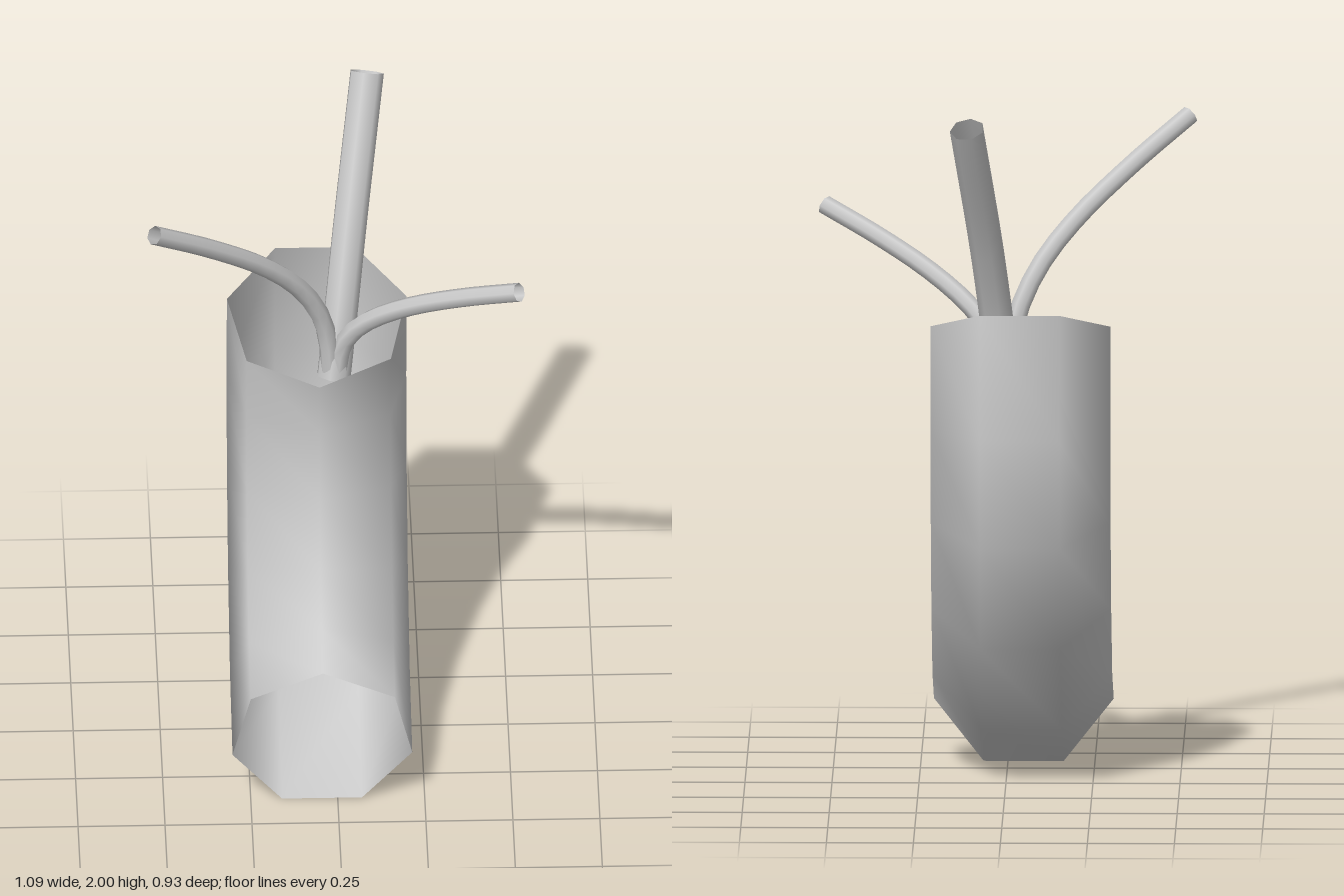
import * as THREE from 'three';

const material = new THREE.MeshStandardMaterial({ color: 0xcccccc, side: THREE.DoubleSide });

// Open, bent seven-sided sleeve; each ring is given by its inner ridge and outer flat as [z, y]
function sleeveGeometry() {
  const sides = 7, radius = 0.265, centreX = -0.045;
  const rings = [
    [[0.47, 0.50], [0.37, 0.005]],
    [[0.33, 0.56], [0.03, 0.155]],
    [[0.22, 0.69], [-0.22, 0.43]],
    [[0.14, 0.88], [-0.345, 0.75]],
    [[0.11, 1.09], [-0.395, 1.07]],
    [[0.13, 1.26], [-0.345, 1.43]],
  ];
  const positions = [], index = [];
  rings.forEach(([ridge, flat], r) => {
    const a = new THREE.Vector2(...ridge), b = new THREE.Vector2(...flat);
    const up = a.clone().sub(b).normalize();
    const centre = a.clone().addScaledVector(up, -radius);
    for (let s = 0; s < sides; s++) {
      const angle = (s / sides) * Math.PI * 2;
      const v = Math.cos(angle) * radius;
      positions.push(centreX + Math.sin(angle) * radius, centre.y + up.y * v, centre.x + up.x * v);
      if (r === 0) continue;
      const next = (s + 1) % sides, p = (r - 1) * sides, q = r * sides;
      index.push(p + s, p + next, q + s, p + next, q + next, q + s);
    }
  });
  const geometry = new THREE.BufferGeometry();
  geometry.setAttribute('position', new THREE.Float32BufferAttribute(positions, 3));
  geometry.setIndex(index);
  geometry.computeVertexNormals();
  return geometry;
}

// Open-ended stalk along a smooth path
function stalk(name, radius, points) {
  const curve = new THREE.CatmullRomCurve3(points.map((p) => new THREE.Vector3(...p)));
  const mesh = new THREE.Mesh(new THREE.TubeGeometry(curve, 14, radius, 7, false), material);
  mesh.name = name;
  return mesh;
}

// Side stalks lie in a vertical plane: depth follows from x
function sideStalk(name, profile, zEnd) {
  const x0 = profile[0][0], x1 = profile[profile.length - 1][0];
  return stalk(name, 0.028, profile.map(([x, y]) => [x, y, -0.06 + ((x - x0) / (x1 - x0)) * (zEnd + 0.06)]));
}

export function createModel() {
  const group = new THREE.Group();
  group.name = 'bentSleeveWithStalks';

  const sleeve = new THREE.Mesh(sleeveGeometry(), material);
  sleeve.name = 'sleeve';
  group.add(sleeve);

  group.add(stalk('thickStalk', 0.05, [
    [0, 1.17, -0.07], [0.02, 1.35, -0.11], [0.05, 1.6, -0.21], [0.105, 1.985, -0.415],
  ]));
  group.add(sideStalk('rightStalk', [
    [-0.01, 1.2], [-0.015, 1.29], [-0.04, 1.4], [-0.1, 1.52], [-0.2, 1.64], [-0.36, 1.78], [-0.525, 1.905],
  ], 0.3));
  group.add(sideStalk('leftStalk', [
    [0.015, 1.2], [0.025, 1.28], [0.06, 1.35], [0.12, 1.415], [0.22, 1.49], [0.36, 1.57], [0.525, 1.65],
  ], 0.24));
  return group;
}
